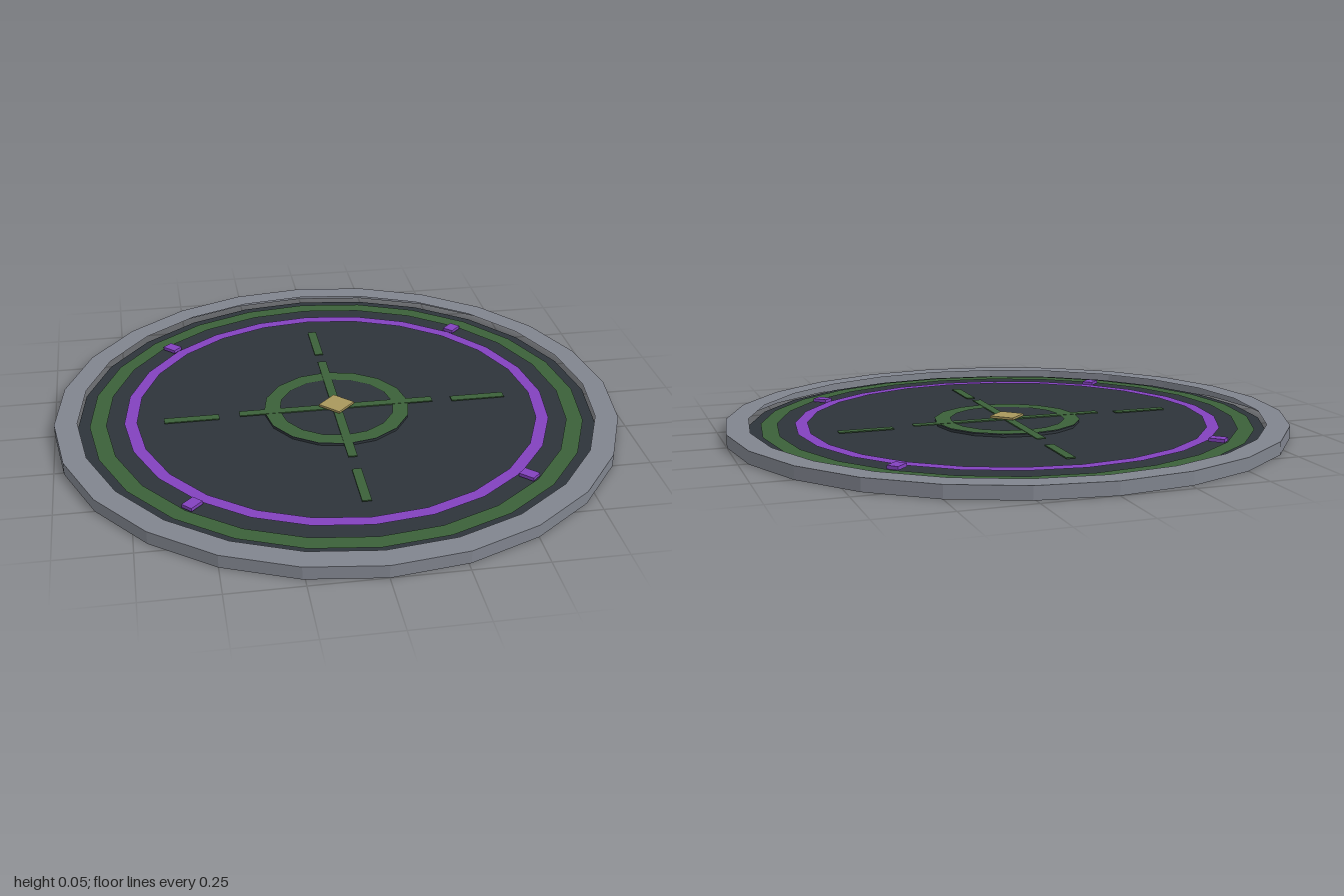
import * as THREE from 'three';

const mat = (name, color, extra = {}) => {
  const m = new THREE.MeshStandardMaterial({ color, flatShading: true, side: THREE.DoubleSide, ...extra });
  m.name = name;
  return m;
};

export function createModel() {
  const group = new THREE.Group();
  group.name = 'landingPad';
  const grey = mat('rimGrey', 0x80848e);
  const dark = mat('darkSlate', 0x2d343a);
  const green = mat('markingGreen', 0x3b6039);
  const purple = mat('glowPurple', 0x8241be);
  const gold = mat('centreGold', 0xa8975c);

  const add = (name, geometry, material, x = 0, y = 0, z = 0, turn = 0) => {
    const mesh = new THREE.Mesh(geometry, material);
    mesh.name = name;
    mesh.position.set(x, y, z);
    mesh.rotation.y = turn;
    group.add(mesh);
    return mesh;
  };
  // flat ring lying face up
  const ring = (name, inner, outer, y, sides, material) =>
    add(name, new THREE.RingGeometry(inner, outer, sides).rotateX(-Math.PI / 2), material, 0, y);

  // Rim: outer wall and top band, open underneath
  add('rimWall', new THREE.CylinderGeometry(1, 1, 0.045, 24, 1, true), grey, 0, 0.0225);
  ring('rimTop', 0.92, 1, 0.045, 24, grey);

  // Floor disc and raised hub
  add('floor', new THREE.CircleGeometry(0.92, 24).rotateX(-Math.PI / 2), dark, 0, 0.02);
  add('hub', new THREE.CylinderGeometry(0.26, 0.26, 0.009, 16), dark, 0, 0.0245);

  // Ring markings
  ring('outerRing', 0.82, 0.878, 0.026, 24, green);
  ring('glowRing', 0.713, 0.757, 0.028, 24, purple);
  ring('hubRing', 0.205, 0.262, 0.032, 16, green);

  // Crosshair: two crossing arms and four outer dashes
  for (let i = 0; i < 2; i++) {
    add('crossArm', new THREE.BoxGeometry(0.7, 0.004, 0.032), green, 0, 0.031 + i * 0.0005, 0, i * Math.PI / 2);
  }
  for (let i = 0; i < 4; i++) {
    const a = i * Math.PI / 2;
    add('crossDash', new THREE.BoxGeometry(0.195, 0.004, 0.032), green,
      Math.cos(a) * 0.52, 0.026, -Math.sin(a) * 0.52, a);
    // Small markers on the diagonals
    const d = a + Math.PI / 4;
    add('marker', new THREE.BoxGeometry(0.055, 0.012, 0.042), purple,
      Math.cos(d) * 0.787, 0.032, -Math.sin(d) * 0.787, d);
  }

  // Centre diamond
  add('centreDiamond', new THREE.BoxGeometry(0.09, 0.008, 0.09), gold, 0, 0.041, 0, Math.PI / 4);
  return group;
}
